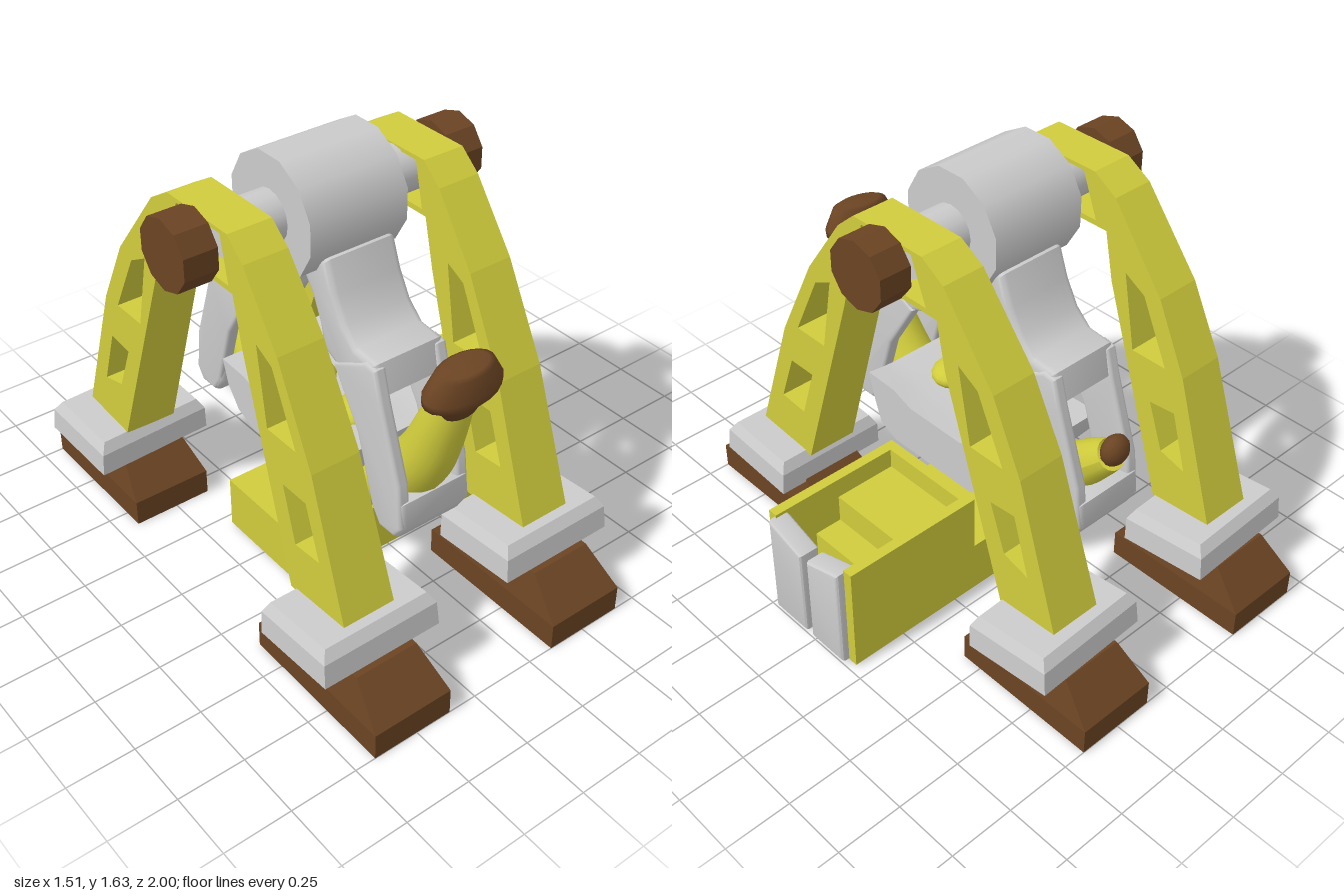
import * as THREE from 'three';
import { RoundedBoxGeometry } from 'three/addons/geometries/RoundedBoxGeometry.js';
import { toCreasedNormals } from 'three/addons/utils/BufferGeometryUtils.js';

const grey = new THREE.MeshStandardMaterial({ color: 0xcccccc, side: THREE.DoubleSide });
const yellow = new THREE.MeshStandardMaterial({ color: 0xd0cc3c, side: THREE.DoubleSide });
const brown = new THREE.MeshStandardMaterial({ color: 0x6b4423 });
const MID = -0.12, AXLE_Y = 1.413, AXLE_Z = 0.023;

function add(parent, name, geo, mat, x = 0, y = 0, z = 0) {
  const m = new THREE.Mesh(geo, mat);
  m.name = name;
  m.position.set(x, y, z);
  parent.add(m);
  return m;
}

// Apply a rule to each vertex
function warp(geo, rule) {
  const p = geo.attributes.position, v = new THREE.Vector3();
  for (let i = 0; i < p.count; i++) {
    rule(v.fromBufferAttribute(p, i), i);
    p.setXYZ(i, v.x, v.y, v.z);
  }
  geo.computeVertexNormals();
  return geo;
}

// Side profile in (z, y), extruded across x and centred on x = 0
const vecs = pts => pts.map(([a, b]) => new THREE.Vector2(a, b));
function slab(pts, width, { holes = [], bevel = 0, steps = 1 } = {}) {
  const shape = new THREE.Shape(vecs(pts));
  holes.forEach(h => shape.holes.push(new THREE.Path(vecs(h))));
  const g = new THREE.ExtrudeGeometry(shape, {
    depth: width - 2 * bevel, steps, bevelEnabled: bevel > 0, bevelSegments: 3,
    bevelSize: bevel, bevelThickness: bevel, bevelOffset: -bevel });
  g.translate(0, 0, bevel - width / 2);
  return g.rotateY(-Math.PI / 2);
}

// Box whose top is scaled inwards
function taper(w, h, d, sx, sz) {
  return warp(new THREE.BoxGeometry(w, h, d), v => {
    if (v.y > 0) { v.x *= sx; v.z *= sz; }
  });
}

function drum(r, len, sides, turn = 0) {
  return new THREE.CylinderGeometry(r, r, len, sides).rotateY(turn).rotateZ(Math.PI / 2);
}

function addFrame(root, x) {
  const frame = new THREE.Group();
  frame.name = 'supportFrame';
  frame.position.x = x;
  root.add(frame);

  const outline = [[0.78, 0.33], [0.6, 0.86], [0.43, 1.2], [0.26, 1.44], [0.18, 1.51],
    [-0.15, 1.51], [-0.25, 1.45], [-0.48, 1.16], [-0.61, 0.9], [-0.8, 0.33],
    [-0.54, 0.33], [-0.26, 1.13], [-0.22, 1.31], [0.2, 1.31], [0.245, 1.13], [0.49, 0.33]];
  const holes = [
    [[0.4, 1.15], [0.32, 1.19], [0.37, 0.9], [0.52, 0.9]],
    [[0.57, 0.73], [0.45, 0.73], [0.515, 0.525], [0.64, 0.535]],
    [[-0.32, 1.19], [-0.41, 1.14], [-0.53, 0.9], [-0.38, 0.9]],
    [[-0.48, 0.73], [-0.59, 0.74], [-0.66, 0.52], [-0.55, 0.55]],
    [[0.18, 1.33], [0.14, 1.495], [-0.1, 1.495], [-0.17, 1.33]]];
  const g = warp(slab(outline, 2, { holes }), v => { v.x *= 0.083 + (1.51 - v.y) * 0.016; });
  add(frame, 'legs', g, yellow);

  // Collar and foot under each leg
  for (const [s, cz, fz, fl] of [[1, 0.67, 0.685, 0.63], [-1, -0.695, -0.71, 0.58]]) {
    const collar = new THREE.Group();
    collar.name = 'ankleCollar';
    collar.position.set(0, 0.27, cz);
    collar.rotation.set(-s * 0.07, s > 0 ? 0 : 0.04, 0);
    frame.add(collar);
    add(collar, 'collarBase', taper(0.468, 0.09, 0.345, 0.98, 0.98), grey, 0, -0.005);
    add(collar, 'collarRim', taper(0.459, 0.04, 0.338, 0.9, 0.86), grey, 0, 0.06);
    add(frame, 'footBase', new THREE.BoxGeometry(0.312, 0.1, fl), brown, 0, 0.05, fz);
    add(frame, 'footTop', taper(0.312, 0.125, fl, 0.79, 0.565), brown, 0, 0.1625, fz);
  }
}

function addArms(swing) {
  // Upper yoke, straddling the hub
  const half = [[0.2, 1.31], [0.24, 1.2], [0.29, 1.11], [0.35, 1.055], [0.45, 1.045],
    [0.475, 0.93], [0.29, 0.92], [0.18, 0.97], [0.16, 1.06], [0.12, 1.15], [0.07, 1.22]];
  const yoke = [...half, ...half.map(([z, y]) => [-z, y]).reverse()];
  const smooth = g => toCreasedNormals(g, 0.75);
  add(swing, 'yoke', smooth(slab(yoke, 0.29, { bevel: 0.025 })), grey, MID, 0, AXLE_Z);

  // Side rails and bottom bar frame an open window at each end
  const rail = [[0.41, 1.04], [0.46, 1.03], [0.49, 0.92], [0.585, 0.64], [0.605, 0.47],
    [0.57, 0.42], [0.49, 0.42], [0.45, 0.48], [0.37, 0.74], [0.24, 0.95]];
  const bar = [[0.6, 0.57], [0.607, 0.47], [0.575, 0.415], [0.485, 0.415], [0.44, 0.48], [0.43, 0.55]];
  for (const s of [1, -1]) {
    const flip = pts => pts.map(([z, y]) => [s * z, y]);
    for (const side of [-1, 1])
      add(swing, 'armRail', smooth(slab(flip(rail), 0.05, { bevel: 0.015 })), grey,
        MID + side * 0.126, 0, AXLE_Z);
    add(swing, 'armBar', smooth(slab(flip(bar), 0.3, { bevel: 0.025 })), grey, MID, 0, AXLE_Z);
  }
}

function addBoat(swing) {
  // Hull, pinched near its middle and flared at the sides
  const hull = [[0.39, 0.655], [0.25, 0.65], [0.16, 0.62], [-0.1, 0.62], [-0.2, 0.65], [-0.33, 0.655],
    [-0.3, 0.56], [-0.24, 0.48], [-0.15, 0.445], [0.25, 0.445], [0.33, 0.48], [0.37, 0.58]];
  const g = warp(slab(hull, 0.455, { steps: 12 }), v => {
    const flare = 1 + 0.12 * Math.max(0, (v.x - 0.13) / 0.1);
    v.y = 0.55 + (v.y - 0.55) * flare;
  });
  add(swing, 'hull', toCreasedNormals(g, 0.6), grey, -0.087);

  // Curved horn-like body through both windows
  const curve = new THREE.CatmullRomCurve3([[0.7, 1.02], [0.645, 0.86], [0.56, 0.67], [0.4, 0.49],
    [0.2, 0.415], [0, 0.395], [-0.2, 0.44], [-0.4, 0.56], [-0.52, 0.67], [-0.575, 0.72]]
    .map(([z, y]) => new THREE.Vector3(MID, y, z)));
  const N = 48, R = 16;
  const tube = new THREE.TubeGeometry(curve, N, 1, R, false);
  warp(tube, (v, i) => {
    const t = Math.floor(i / (R + 1)) / N, c = curve.getPointAt(t);
    const r = 0.05 + 0.066 * Math.pow(Math.sin(Math.PI * Math.min(1, t * 0.97 + 0.02)), 0.6);
    v.sub(c).multiplyScalar(r).add(c);
  });
  add(swing, 'curvedBody', tube, yellow);

  // Stem cap at the front, small tip at the back
  const profile = vecs([[0, -0.1], [0.065, -0.1], [0.09, -0.06], [0.15, -0.015], [0.153, 0.015],
    [0.115, 0.085], [0.09, 0.095], [0, 0.1]]);
  const cap = add(swing, 'stemCap', new THREE.LatheGeometry(profile, 20), brown, MID, 1.045, 0.727);
  cap.scale.z = 0.55;
  cap.rotation.set(0.12, 0, 0.06);
  const tip = add(swing, 'rearTip', new THREE.SphereGeometry(0.06, 14, 8), brown, MID - 0.03, 0.715, -0.565);
  tip.scale.z = 0.75;

  // Seats with grab handles
  for (const z of [0.2, -0.06]) {
    const seat = add(swing, 'seat', new THREE.SphereGeometry(0.1, 16, 10), yellow, MID, 0.645, z);
    seat.scale.set(1, 0.48, 0.85);
  }
  for (const z of [0.22, 0.04])
    add(swing, 'grabHandle', new THREE.CapsuleGeometry(0.014, 0.1, 4, 8), grey, MID, 0.675, z);
}

function addBase(root) {
  const base = new THREE.Group();
  base.name = 'platform';
  root.add(base);
  const block = (name, x0, x1, y0, y1, z0, z1) => add(base, name,
    new THREE.BoxGeometry(x1 - x0, y1 - y0, z1 - z0), yellow, (x0 + x1) / 2, (y0 + y1) / 2, (z0 + z1) / 2);
  block('lowDeck', -0.395, 0.16, 0.01, 0.215, -0.2, 0.25);
  block('boxWall', 0.16, 0.725, 0.01, 0.44, 0.21, 0.25);
  block('boxWall', 0.16, 0.725, 0.01, 0.44, -0.2, -0.16);
  block('boxBack', 0.16, 0.2, 0.01, 0.44, -0.16, 0.21);
  block('boxFloor', 0.2, 0.45, 0.01, 0.36, -0.16, 0.21);
  block('boxStep', 0.45, 0.56, 0.01, 0.25, -0.16, 0.21);

  // Pair of doors with tops sloping to the middle
  for (const s of [1, -1]) {
    const top = s * 0.09, foot = s * 0.085;
    const door = slab([[-foot, 0.015], [top, 0.015], [top, 0.43], [-foot, 0.375]], 0.085, { bevel: 0.015 });
    add(base, 'door', toCreasedNormals(door, 0.4), grey, 0.713, 0, 0.028 + s * 0.1);
  }
}

export function createModel() {
  const root = new THREE.Group();
  root.name = 'swingRide';
  for (const x of [-0.516, 0.257]) addFrame(root, x);

  // Axle, hub and end knobs
  add(root, 'axle', drum(0.094, 0.79, 16), grey, -0.13, AXLE_Y, AXLE_Z);
  for (const x of [-0.672, 0.402]) {
    const knob = drum(0.128, 0.125, 10, Math.PI / 2).toNonIndexed();
    knob.computeVertexNormals();
    add(root, 'endKnob', knob, brown, x, AXLE_Y, AXLE_Z);
  }

  const swing = new THREE.Group();
  swing.name = 'swing';
  root.add(swing);
  add(swing, 'hub', drum(0.22, 0.39, 12, Math.PI / 12), grey, -0.135, AXLE_Y, AXLE_Z);
  addArms(swing);
  addBoat(swing);
  addBase(root);
  return root;
}
